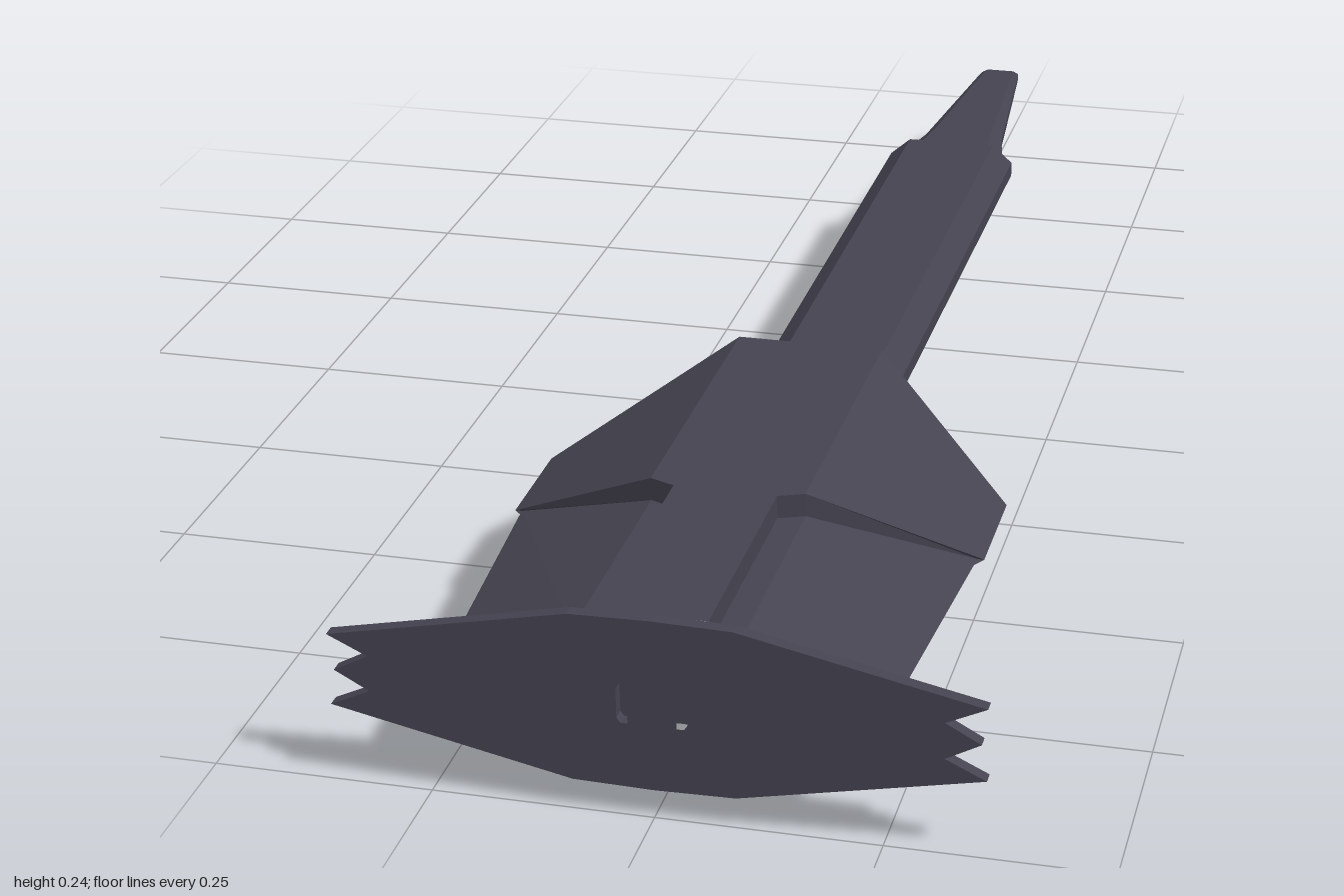
import * as THREE from 'three';

const CY = 0.1365; // height of the long axis
const H = 0.1015; // half height of the hull
const material = new THREE.MeshStandardMaterial({ color: 0x454350, flatShading: true, roughness: 0.8 });

// Collects the faces of one quarter (+x, above the axis) and mirrors them to all four.
function quarterMesh(name, faces) {
  const pos = [];
  for (const sx of [1, -1]) for (const sy of [1, -1]) {
    for (const face of faces) {
      const pts = face.map(([x, y, z]) => [x * sx, y * sy, z]);
      if (sx * sy < 0) pts.reverse();
      for (let i = 1; i < pts.length - 1; i++) pos.push(...pts[0], ...pts[i], ...pts[i + 1]);
    }
  }
  const geo = new THREE.BufferGeometry();
  geo.setAttribute('position', new THREE.Float32BufferAttribute(pos, 3));
  geo.computeVertexNormals();
  const mesh = new THREE.Mesh(geo, material);
  mesh.name = name;
  mesh.position.y = CY;
  return mesh;
}

// Lofts bevelled sections [z, top half width, side half width, half height, side half height].
function loft(name, sections) {
  const rings = sections.map(([z, t, s, h, sh]) => [[0, h, z], [t, h, z], [s, sh, z], [s, 0, z]]);
  const faces = [[...rings[0], [0, 0, sections[0][0]]]];
  for (let k = 0; k < rings.length - 1; k++) {
    const a = rings[k], b = rings[k + 1];
    for (let i = 0; i < 3; i++) faces.push([a[i], b[i], b[i + 1], a[i + 1]]);
  }
  return quarterMesh(name, faces);
}

function box(name, w, h, d, x, y, z) {
  const mesh = new THREE.Mesh(new THREE.BoxGeometry(w, h, d), material);
  mesh.name = name;
  mesh.position.set(x, y, z);
  return mesh;
}

function hull() {
  const R = 0.0735; // half height of the recessed side panels
  return quarterMesh('hull', [
    // flat top, narrowing to the spine
    [[0, H, 0.28], [0, H, 0.69], [0.06, H, 0.69], [0.09, H, 0.678], [0.09, H, 0.28]],
    [[0, H, 0.69], [0, H, 0.985], [0.06, H, 0.985], [0.06, H, 0.69]],
    // sloping shoulder and flat end around the shaft
    [[0.09, H, 0.28], [0.09, H, 0.678], [0.28, 0, 0.6], [0.28, 0, 0.46]],
    [[0, H, 0.28], [0.09, H, 0.28], [0.09, 0, 0.28], [0, 0, 0.28]],
    // walls of the recess
    [[0.06, H, 0.69], [0.06, H, 0.985], [0.06, R, 0.985], [0.06, R, 0.69]],
    [[0.06, H, 0.69], [0.06, R, 0.69], [0.09, R, 0.678], [0.09, H, 0.678]],
    [[0.09, H, 0.678], [0.09, R, 0.678], [0.272, 0, 0.6], [0.28, 0, 0.6]],
    // recessed side panel
    [[0.06, R, 0.69], [0.06, R, 0.985], [0.09, R, 0.985], [0.09, R, 0.678]],
    [[0.09, R, 0.678], [0.09, R, 0.985], [0.245, 0, 0.985], [0.272, 0, 0.6]],
    // flare into the end plate
    [[0.09, R, 0.965], [0.09, 0.085, 0.985], [0.275, 0, 0.985], [0.247, 0, 0.965]],
  ]);
}

// Slanted triangular hull faces with a wedge-shaped scoop cut into each.
function scoops() {
  const len = Math.hypot(0.19, 0.18), ux = 0.19 / len, uz = 0.18 / len;
  const at = (u, v, d = 0) => [0.09 + u * ux - d * uz, v, 0.28 + u * uz + d * ux];
  const u0 = 0.02, u1 = 0.135, deep = 0.03;
  const top = at(0, H), tip = at(len, 0);
  const a = at(u0, 0.036), a0 = at(u0, 0), b = at(u1, 0.022), b0 = at(u1, 0);
  const c = at(u0, 0.036, deep), c0 = at(u0, 0, deep);
  return quarterMesh('scoopFaces', [
    [top, tip, b, a], [top, a, a0, at(0, 0)], [tip, b0, b],
    [b, b0, c0, c], [a, c, c0, a0], [a, b, c],
  ]);
}

// Notched end plate with two upright slots.
function endPlate() {
  const half = [[0, 0.1025], [0.09, 0.1005], [0.36, 0.043], [0.315, 0.0215], [0.354, 0]];
  const right = [...half, ...half.slice(0, 4).reverse().map(([x, y]) => [x, -y])];
  const left = right.slice(1, -1).reverse().map(([x, y]) => [-x, y]);
  const shape = new THREE.Shape([...right, ...left].map(([x, y]) => new THREE.Vector2(x, y)));
  for (const s of [1, -1]) {
    const slot = [[-0.006, 0.018], [-0.006, -0.018], [-0.002, -0.024], [0.006, -0.024], [0.006, 0.024], [-0.002, 0.024]];
    shape.holes.push(new THREE.Path(slot.map(([x, y]) => new THREE.Vector2(s * (0.033 - x), y))));
  }
  const geo = new THREE.ExtrudeGeometry(shape, { depth: 0.015, bevelEnabled: false });
  const mesh = new THREE.Mesh(geo, material);
  mesh.name = 'endPlate';
  mesh.position.set(0, CY, 0.985);
  return mesh;
}

export function createModel() {
  const model = new THREE.Group();
  model.name = 'model';
  model.add(hull(), scoops(), endPlate());

  // floors behind the slots
  for (const s of [1, -1]) model.add(box('slotFloor', 0.03, 0.07, 0.01, s * 0.033, CY, 0.965));

  // long bevelled shaft and its tapered tip
  model.add(loft('shaft', [
    [-0.612, 0.058, 0.086, 0.031, 0.008],
    [-0.604, 0.062, 0.09, 0.034, 0.01],
    [0.285, 0.062, 0.09, 0.034, 0.01],
  ]));
  model.add(loft('tip', [
    [-1, 0.02, 0.028, 0.007, 0.003],
    [-0.985, 0.022, 0.03, 0.009, 0.004],
    [-0.7, 0.042, 0.057, 0.019, 0.007],
    [-0.605, 0.052, 0.077, 0.023, 0.008],
  ]));

  // small block the model stands on
  model.add(box('foot', 0.06, 0.04, 0.135, 0, 0.02, 0.633));
  return model;
}
